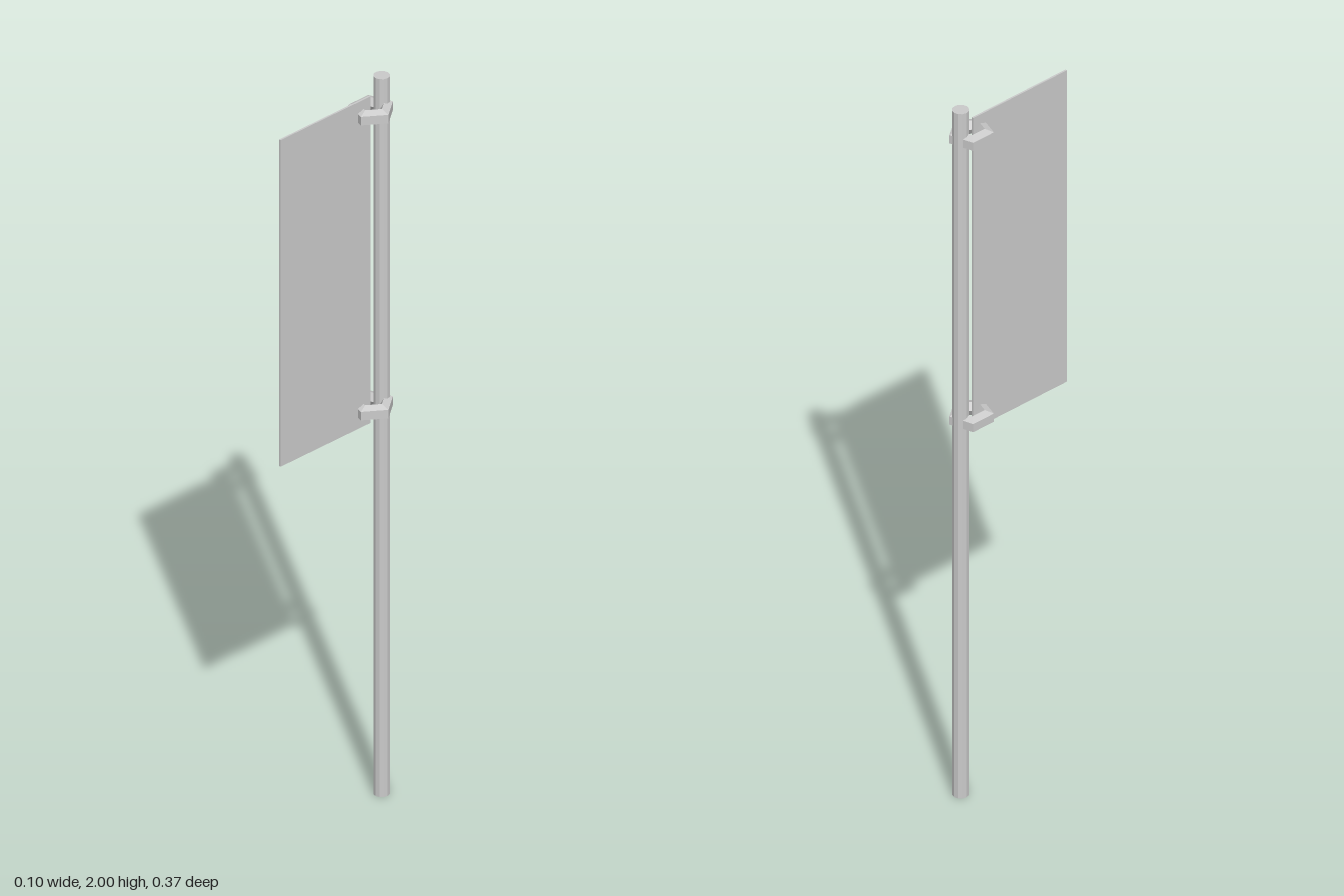
import * as THREE from 'three';

export function createModel() {
  const group = new THREE.Group();
  const material = new THREE.MeshStandardMaterial({ color: 0xcccccc, flatShading: true });
  const axisX = -0.0065;

  const add = (name, geometry, x, y, z) => {
    const mesh = new THREE.Mesh(geometry, material);
    mesh.name = name;
    mesh.position.set(x, y, z);
    group.add(mesh);
  };

  // Tall pole
  add('pole', new THREE.CylinderGeometry(0.021, 0.021, 2, 12), axisX, 1, -0.164);

  // Thin hanging banner
  add('banner', new THREE.BoxGeometry(0.005, 0.91, 0.307), axisX, 1.503, 0.0295);

  // Five-sided rings with a pentagonal section, one corner pointing inward
  const ringRadius = 0.0412, tubeRadius = 0.0202;
  const section = [];
  for (let i = 0; i <= 5; i++) {
    const a = -Math.PI / 5 + (i * Math.PI * 2) / 5;
    section.push(new THREE.Vector2(ringRadius + tubeRadius * Math.cos(a), tubeRadius * Math.sin(a)));
  }
  const ring = new THREE.LatheGeometry(section, 5, Math.PI / 2);
  add('upperRing', ring, axisX, 1.914, -0.1305);
  add('lowerRing', ring, axisX, 1.092, -0.1305);

  return group;
}
